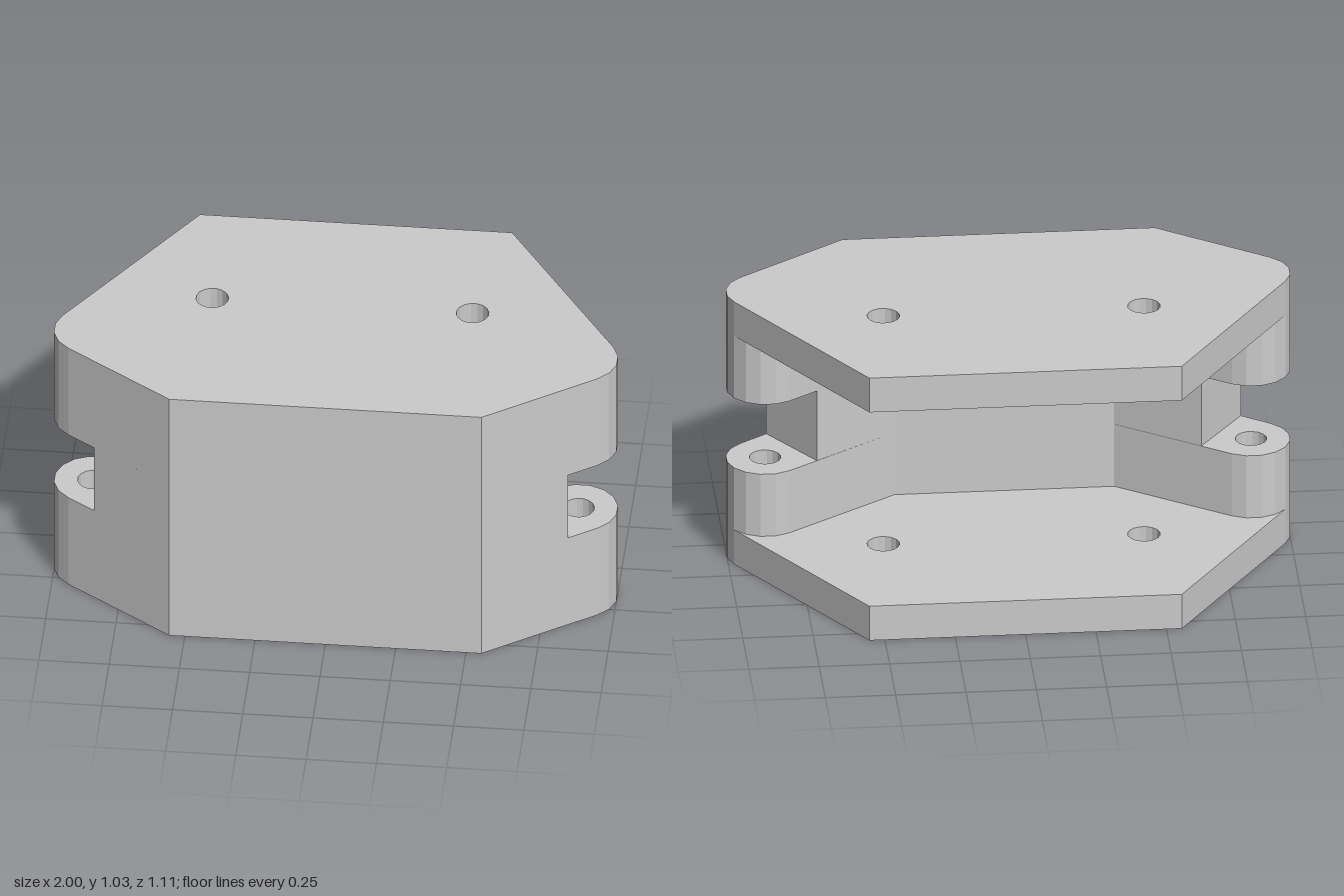
import * as THREE from 'three';

const PIN = { x: 0.863, z: 0.17, r: 0.14 }; // hinge knuckle in plan
const PLATE = 0.135, HEIGHT = 1.035, SLOT_LOW = 0.38, SLOT_HIGH = 0.655;

// Points on the 16-sided knuckle, from one angle down to another (degrees, 90 = front)
function knuckle(from, to) {
  const points = [];
  for (let a = from; a >= to - 0.01; a -= 22.5) {
    const t = THREE.MathUtils.degToRad(a);
    points.push([PIN.x + PIN.r * Math.cos(t), PIN.z + PIN.r * Math.sin(t)]);
  }
  return points;
}

// Mirror the [x, z] points of the +x half into a closed outline
function mirrored(half) {
  return [...half, ...half.map(([x, z]) => [-x, z]).reverse()];
}

function roundHole(cx, cz, r) {
  const points = [];
  for (let i = 0; i < 16; i++) {
    const a = ((i + 0.5) / 16) * Math.PI * 2;
    points.push(new THREE.Vector2(cx + r * Math.cos(a), -cz + r * Math.sin(a)));
  }
  return new THREE.Path(points);
}

// Upright slab from a plan outline, between two heights
function slab(name, half, y0, y1, material, hole) {
  const shape = new THREE.Shape(mirrored(half).map(([x, z]) => new THREE.Vector2(x, -z)));
  if (hole) {
    for (const side of [1, -1]) shape.holes.push(roundHole(side * hole.x, hole.z, hole.r));
  }
  const geometry = new THREE.ExtrudeGeometry(shape, { depth: y1 - y0, bevelEnabled: false });
  geometry.rotateX(-Math.PI / 2);
  geometry.translate(0, y0, 0);
  const mesh = new THREE.Mesh(geometry, material);
  mesh.name = name;
  return mesh;
}

export function createModel() {
  const group = new THREE.Group();
  group.name = 'hingeBracket';
  const material = new THREE.MeshStandardMaterial({ color: 0xcccccc, flatShading: true });

  // Plan outlines, +x half, from front to back
  const plate = [[0.555, 0.557], ...knuckle(56.25, -33.75), [0.555, -0.557]];
  const earWall = [[0.555, 0.557], ...knuckle(56.25, -123.75), [0.39, 0.325]];
  const slotWall = [[0.555, 0.557], [0.843, 0.355], [0.683, 0.125], [0.39, 0.325]];

  const screwHole = { x: 0.463, z: -0.063, r: 0.058 };
  const pinHole = { x: PIN.x, z: PIN.z, r: 0.056 };

  group.add(
    // Flat plates with screw holes
    slab('bottomPlate', plate, 0, PLATE, material, screwHole),
    slab('topPlate', plate, HEIGHT - PLATE, HEIGHT, material, screwHole),
    // Front wall: knuckles with blind pin holes above and below the slots
    slab('lowerKnuckleWall', earWall, PLATE, SLOT_LOW, material, pinHole),
    slab('middleWall', slotWall, SLOT_LOW, SLOT_HIGH, material),
    slab('upperKnuckleWall', earWall, SLOT_HIGH, HEIGHT - PLATE, material, pinHole)
  );
  return group;
}
